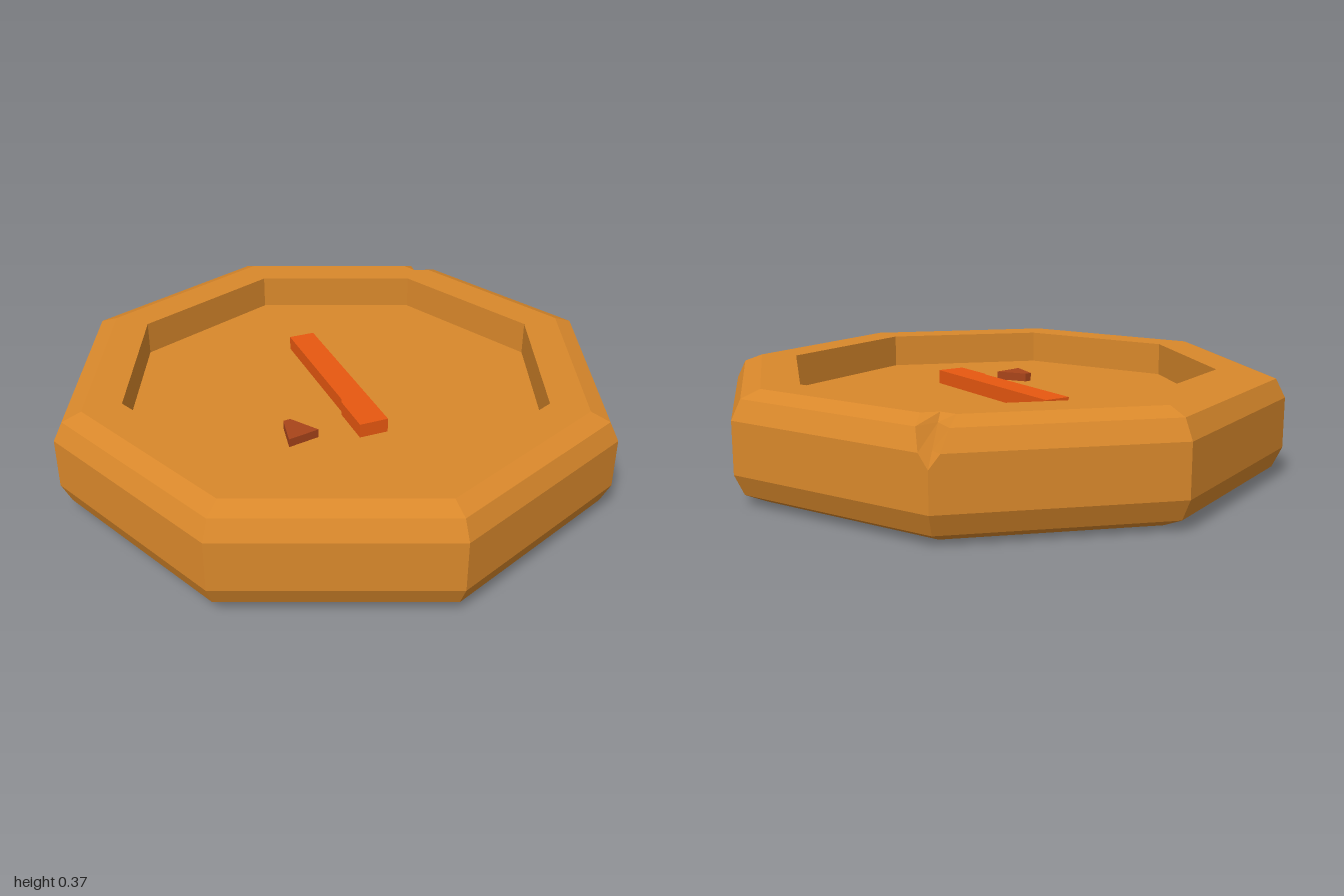
import * as THREE from 'three';

const SIDES = 8;
const NOTCH = 1; // index of the chipped corner (back left)
const FLOOR_Y = 0.25;

// Rings from the underside up, over the rim and down into the recess:
// r, y, and where the ring crosses the chip: half width and groove bottom radius / height
const RINGS = [
  { r: 0, y: 0 },
  { r: 0.89, y: 0 },
  { r: 0.967, y: 0.035 },
  { r: 1, y: 0.105 },
  { r: 1, y: 0.235 },
  { r: 1, y: 0.28, width: 0.035, groove: 0.952 },
  { r: 0.967, y: 0.345, width: 0.053, groove: 0.882 },
  { r: 0.9, y: 0.37, width: 0.057, groove: 0.855 },
  { r: 0.765, y: 0.37 },
  { r: 0.765, y: FLOOR_Y },
  { r: 0, y: FLOOR_Y },
];

// One octagonal loop; the chipped corner becomes three points
function ringPoints({ r, y, width = 0, groove = r }) {
  const corner = (i, radius = r) => {
    const a = (i / SIDES) * Math.PI * 2;
    return new THREE.Vector3(radius * Math.cos(a), y, -radius * Math.sin(a));
  };
  const toward = (from, to) => to.clone().sub(from).setLength(width).add(from);
  const points = [];
  for (let i = 0; i < SIDES; i++) {
    if (i !== NOTCH) {
      points.push(corner(i));
      continue;
    }
    points.push(toward(corner(i), corner(i - 1)), corner(i, groove), toward(corner(i), corner(i + 1)));
  }
  return points;
}

// Joins the loops into one faceted skin
function skin(loops) {
  const positions = [];
  const tri = new THREE.Triangle();
  const addTriangle = (a, b, c) => {
    if (tri.set(a, b, c).getArea() < 1e-7) return;
    for (const p of [a, b, c]) positions.push(p.x, p.y, p.z);
  };
  for (let k = 0; k < loops.length - 1; k++) {
    const low = loops[k];
    const high = loops[k + 1];
    for (let j = 0; j < low.length; j++) {
      const n = (j + 1) % low.length;
      addTriangle(low[j], low[n], high[n]);
      addTriangle(low[j], high[n], high[j]);
    }
  }
  const geometry = new THREE.BufferGeometry();
  geometry.setAttribute('position', new THREE.Float32BufferAttribute(positions, 3));
  geometry.computeVertexNormals();
  return geometry;
}

// Flat slab standing on the recess floor, outlined by [x, z] corners
function slab(outline, height) {
  const shape = new THREE.Shape(outline.map(([x, z]) => new THREE.Vector2(x, -z)));
  const geometry = new THREE.ExtrudeGeometry(shape, { depth: height, bevelEnabled: false });
  return geometry.rotateX(-Math.PI / 2).translate(0, FLOOR_Y, 0);
}

export function createModel() {
  const model = new THREE.Group();
  model.name = 'octagonalCoin';

  const add = (name, geometry, color) => {
    const mesh = new THREE.Mesh(geometry, new THREE.MeshStandardMaterial({ color, flatShading: true }));
    mesh.name = name;
    model.add(mesh);
  };

  // Bevelled body with recessed face and a chipped corner
  add('coinBody', skin(RINGS.map(ringPoints)), 0xd9882b);

  // Raised central bar, slightly worn along one side
  add('centreBar', slab([
    [-0.046, 0.32], [0.056, 0.32], [0.056, -0.365], [-0.038, -0.365], [-0.038, 0.14], [-0.046, 0.16],
  ], 0.05), 0xe85810);

  // Small loose fragment beside the bar
  add('fragment', slab([
    [-0.285, 0.285], [-0.172, 0.264], [-0.236, 0.165], [-0.262, 0.168],
  ], 0.03), 0xa8441a);

  return model;
}
